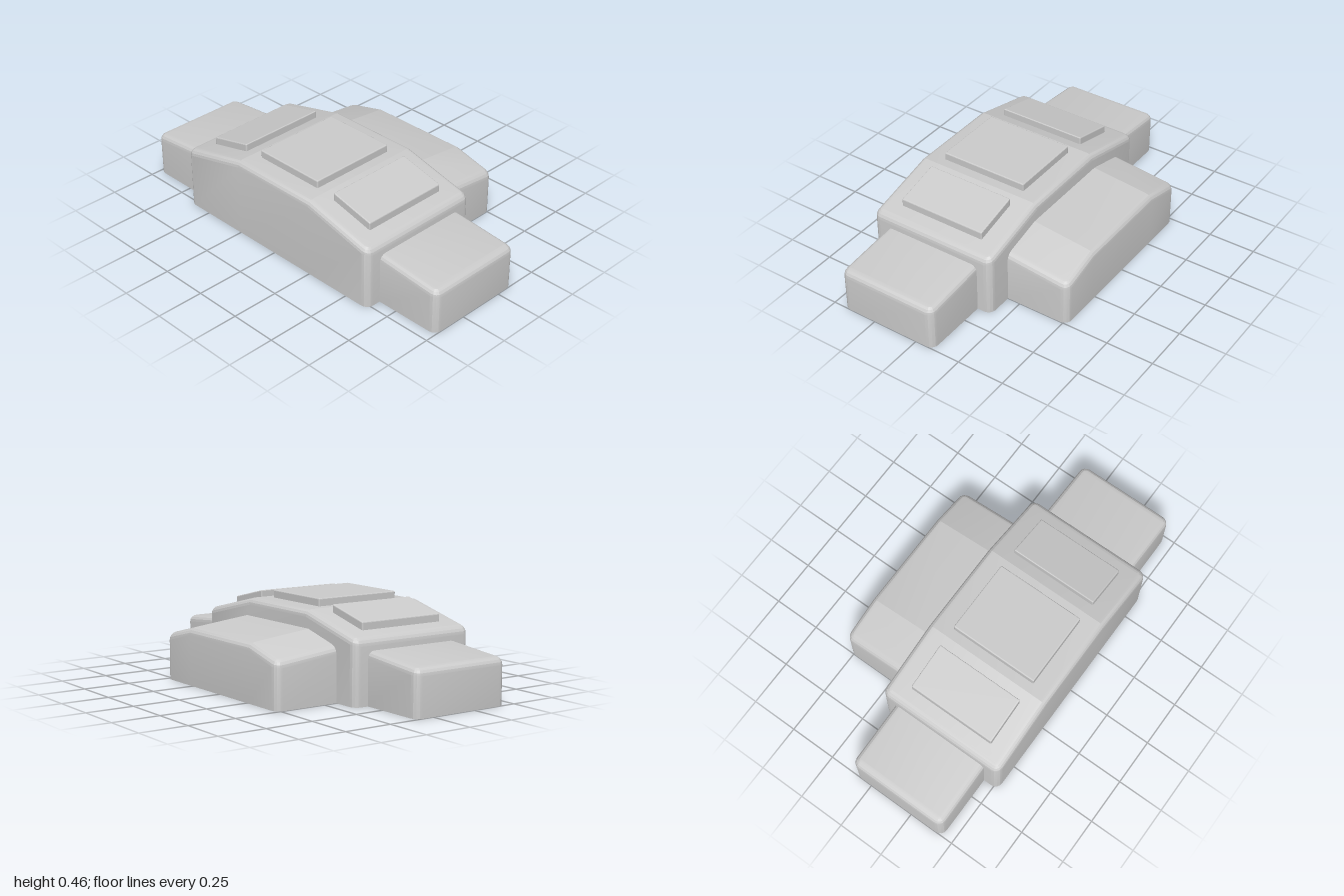
import * as THREE from 'three';
import { toCreasedNormals } from 'three/addons/utils/BufferGeometryUtils.js';
import { RoundedBoxGeometry } from 'three/addons/geometries/RoundedBoxGeometry.js';

const material = new THREE.MeshStandardMaterial({ color: 0xcccccc, side: THREE.DoubleSide });
const BEVEL = 0.035, CORNER = 0.04, STEPS = 4;
const SLOPE = 0.243;

// Plan outline (rounded rectangle) as points down the right side, then back up the left
function outline(hw, hl, inset, breaks) {
  const r = CORNER - inset, right = [];
  for (let i = 0; i <= STEPS; i++) {
    const a = (Math.PI / 2) * (1 - i / STEPS);
    right.push([hw - CORNER + r * Math.cos(a), hl - CORNER + r * Math.sin(a)]);
  }
  const back = right.map(([x, z]) => [x, -z]).reverse();
  const middle = breaks.map(z => [right[STEPS][0], z]);
  const side = [...right, ...middle, ...back];
  return [...side, ...side.map(([x, z]) => [-x, z]).reverse()];
}

// Bottomless shell with bevelled edges under a sloping roof; clamp trims it flat where it meets the body
function shell(name, { hw, hl, breaks = [], roof, clamp, cut = () => false }) {
  const rings = [];
  for (let j = -1; j <= STEPS; j++) {
    const a = (Math.PI / 2) * Math.max(j, 0) / STEPS;
    const inset = BEVEL * (1 - Math.cos(a)), drop = BEVEL * (1 - Math.sin(a));
    rings.push(outline(hw, hl, inset, breaks).map(([x, z]) => {
      const p = new THREE.Vector3(x, 0, z);
      if (clamp) clamp(p);
      if (j >= 0) p.y = roof(p.x, p.z) - drop;
      return p;
    }));
  }
  const pos = [], tri = new THREE.Triangle();
  const face = (a, b, c) => {
    tri.set(a, b, c);
    if (tri.getArea() < 1e-8 || [a, b, c].every(cut)) return;
    for (const p of [a, b, c]) pos.push(p.x, p.y, p.z);
  };
  const quad = (a, b, c, d) => { face(a, b, c); face(a, c, d); };
  const n = rings[0].length;
  for (let j = 0; j < rings.length - 1; j++) {
    for (let i = 0; i < n; i++) {
      const k = (i + 1) % n;
      quad(rings[j][i], rings[j][k], rings[j + 1][k], rings[j + 1][i]);
    }
  }
  // Roof in strips from side to side
  const top = rings[rings.length - 1];
  for (let i = 0; i < n / 2 - 1; i++) quad(top[i], top[i + 1], top[n - 2 - i], top[n - 1 - i]);
  const geo = new THREE.BufferGeometry();
  geo.setAttribute('position', new THREE.Float32BufferAttribute(pos, 3));
  const mesh = new THREE.Mesh(toCreasedNormals(geo, 0.2), material);
  mesh.name = name;
  return mesh;
}

// Raised roof slab, sheared to follow the roof and sunk slightly into it
function panel(name, depth, y, z, slope) {
  const geo = new RoundedBoxGeometry(0.48, 0.06, depth, 2, 0.006);
  const p = geo.attributes.position;
  for (let i = 0; i < p.count; i++) p.setY(i, p.getY(i) + slope * p.getZ(i));
  geo.computeVertexNormals();
  const mesh = new THREE.Mesh(geo, material);
  mesh.name = name;
  mesh.position.set(-0.175, y + 0.01, z);
  return mesh;
}

export function createModel() {
  const model = new THREE.Group();
  model.name = 'building';

  // Main hall
  const hall = shell('mainHall', {
    hw: 0.3525, hl: 0.645, breaks: [0.25, -0.25],
    roof: (x, z) => 0.42 - SLOPE * Math.max(0, Math.abs(z) - 0.25),
  });
  hall.position.x = -0.1725;
  model.add(hall);

  // Side wing, roof falling outwards and towards both ends
  const sideX = 0.175;
  const wing = shell('sideWing', {
    hw: 0.35, hl: 0.5, breaks: [0.27, -0.27],
    roof: (x, z) => 0.33 - 0.11 * x - 0.25 * Math.max(0, Math.abs(z) - 0.27),
    clamp: p => { p.x = Math.max(p.x, 0); },
    cut: p => p.x < 1e-6,
  });
  wing.position.x = sideX;
  model.add(wing);

  // Matching wings at the front and back
  for (const s of [1, -1]) {
    const end = shell(s > 0 ? 'frontWing' : 'backWing', {
      hw: 0.272, hl: 1.0,
      roof: (x, z) => 0.265 - 0.092 * (z - 0.64),
      clamp: p => { p.z = Math.max(p.z, 0.637); },
      cut: p => p.z < 0.6371,
    });
    end.position.x = -0.17;
    if (s < 0) end.rotation.y = Math.PI;
    model.add(end);

    // Sloping roof panels
    model.add(panel(s > 0 ? 'frontRoofPanel' : 'backRoofPanel', 0.24, 0.42 - SLOPE * 0.18, 0.43 * s, -SLOPE * s));
  }
  model.add(panel('middleRoofPanel', 0.4, 0.42, 0, 0));
  return model;
}
